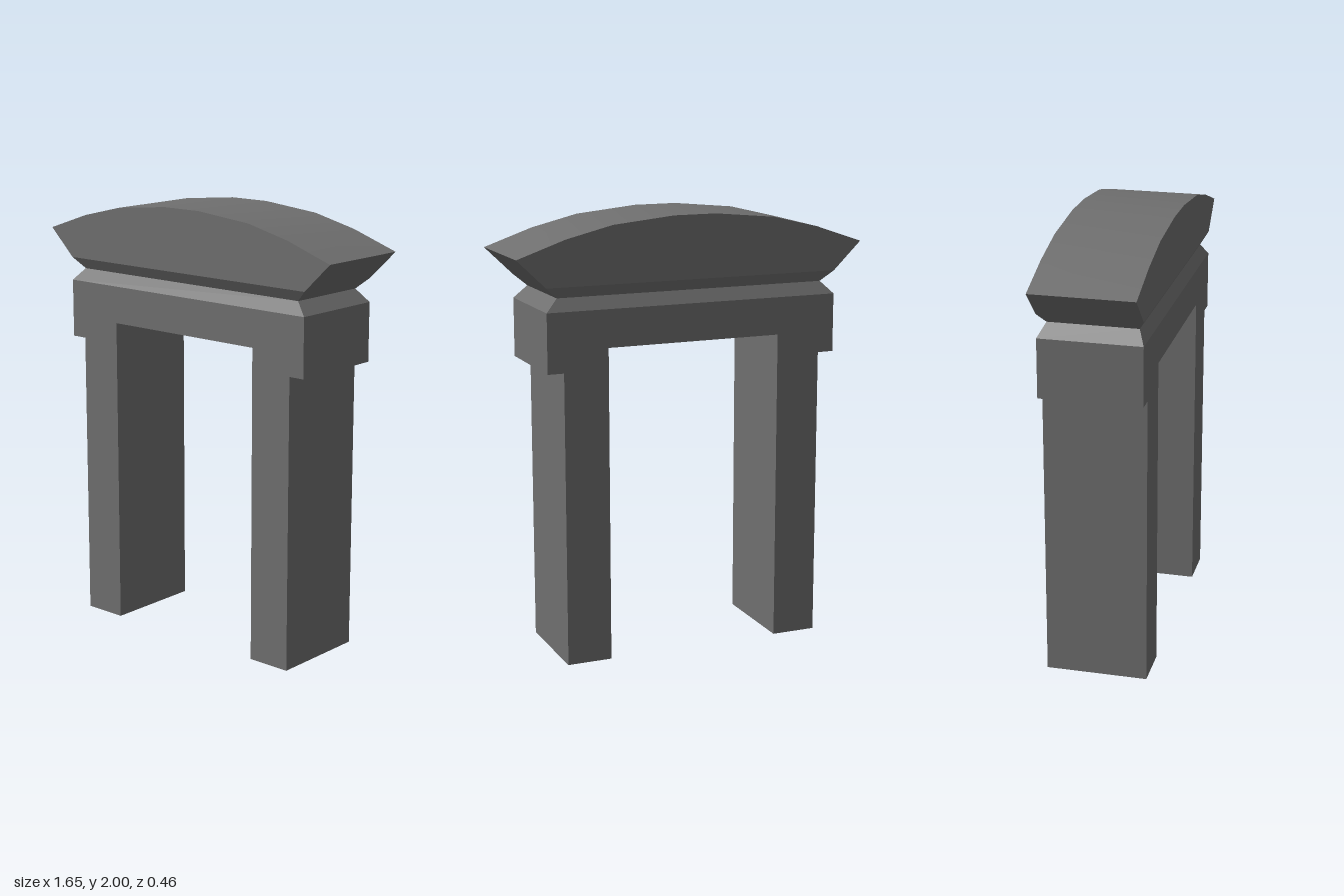
import * as THREE from 'three';
import { mergeGeometries, toCreasedNormals } from 'three/addons/utils/BufferGeometryUtils.js';

const DEPTH = 0.23; // half thickness, front to back

const material = new THREE.MeshStandardMaterial({ color: 0x6f6f6f, side: THREE.DoubleSide });

// Flat-shaded geometry from quads, each with four corners counter-clockwise
function quadGeometry(quads) {
  const points = quads.flatMap(([a, b, c, d]) => [a, b, c, a, c, d]);
  const g = new THREE.BufferGeometry();
  g.setAttribute('position', new THREE.Float32BufferAttribute(points.flat(), 3));
  g.computeVertexNormals();
  return g;
}

// Hollow prism of a counter-clockwise outline; the edges in openEdges get no wall.
// Gentle bends are shaded smooth, corners stay sharp.
function prism(outline, openEdges) {
  const walls = [];
  outline.forEach(([ax, ay], i) => {
    if (openEdges.includes(i)) return;
    const [bx, by] = outline[(i + 1) % outline.length];
    walls.push([[ax, ay, -DEPTH], [bx, by, -DEPTH], [bx, by, DEPTH], [ax, ay, DEPTH]]);
  });
  const shape = new THREE.Shape(outline.map(([x, y]) => new THREE.Vector2(x, y)));
  const front = new THREE.ShapeGeometry(shape).toNonIndexed();
  front.deleteAttribute('uv');
  const back = front.clone().rotateY(Math.PI).translate(0, 0, -DEPTH); // outline is symmetric
  front.translate(0, 0, DEPTH);
  return toCreasedNormals(mergeGeometries([quadGeometry(walls), front, back]), 0.5);
}

// Band of four sloped faces between two rectangles given as [halfX, y, halfZ]
function slopedBand(lower, upper) {
  const ring = ([x, y, z]) => [[-x, y, z], [x, y, z], [x, y, -z], [-x, y, -z]];
  const lo = ring(lower), up = ring(upper);
  return quadGeometry(lo.map((p, i) => {
    const j = (i + 1) % 4;
    return [p, lo[j], up[j], up[i]];
  }));
}

// Complete the right half of an outline with its mirror image
const mirrored = (half) => [...half, ...half.map(([x, y]) => [-x, y]).reverse()];

export function createModel() {
  const group = new THREE.Group();
  const add = (name, geometry) => {
    const mesh = new THREE.Mesh(geometry, material);
    mesh.name = name;
    group.add(mesh);
  };

  // Two pillars joined by the lintel, open under the feet and under the chamfer
  add('pillarsAndLintel', prism(mirrored([
    [0.41, 1.437], [0.41, 0], [0.617, 0], [0.617, 1.34], [0.692, 1.34], [0.692, 1.608],
  ]), [1, 5, 9]));

  // Pinched neck between lintel and roof
  const neck = [0.635, 1.665, 0.2];
  add('lintelChamfer', slopedBand([0.692, 1.608, DEPTH], neck));
  add('roofUnderside', slopedBand(neck, [0.692, 1.715, DEPTH]));

  // Flared roof with a smoothly curved top
  add('roof', prism(mirrored([
    [0.692, 1.715], [0.824, 1.843], [0.6, 1.92], [0.385, 1.972], [0.1, 2],
  ]), [9]));

  return group;
}
